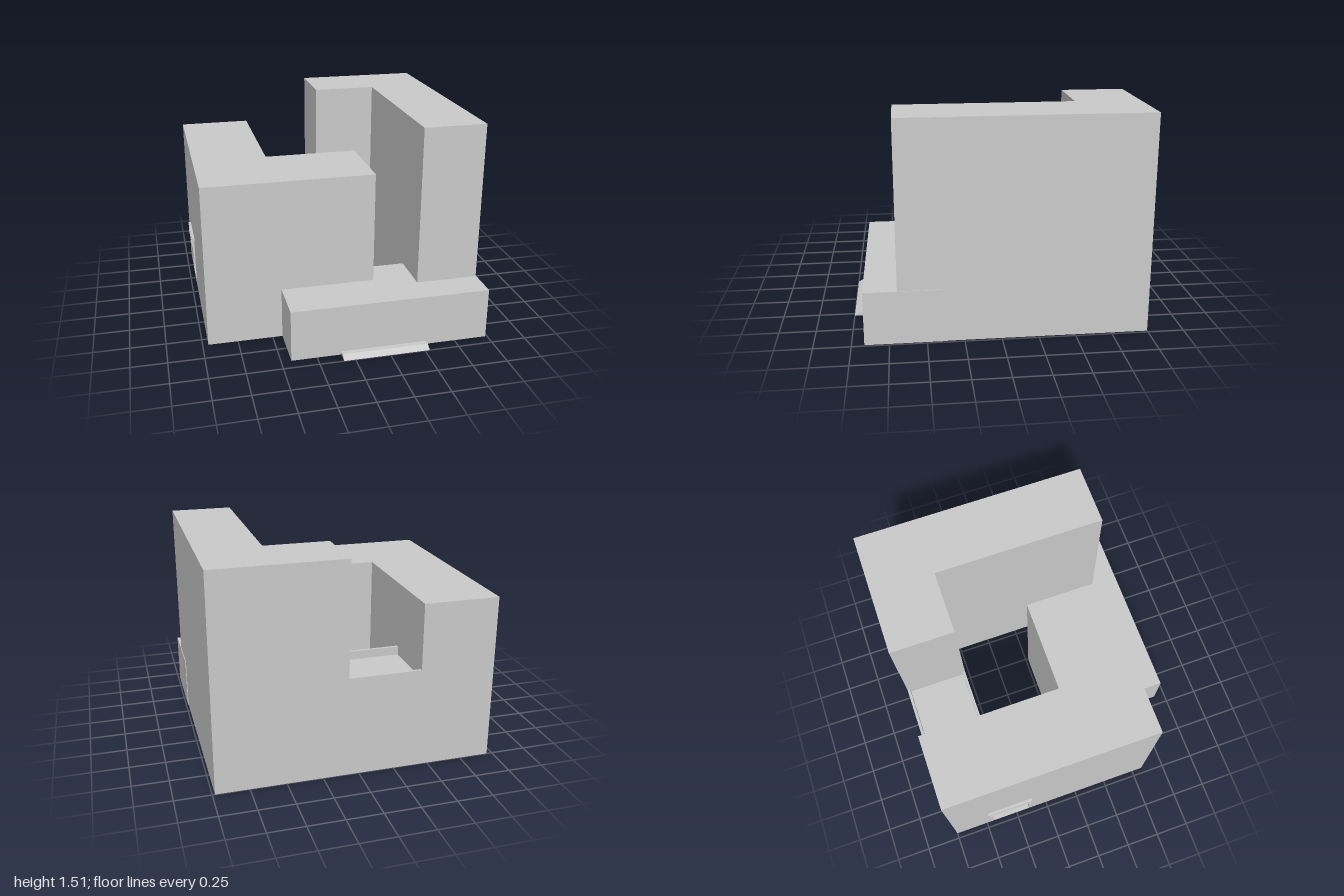
import * as THREE from 'three';

const material = new THREE.MeshStandardMaterial({ color: 0xcccccc, flatShading: true });

function makeShape(points) {
  return new THREE.Shape(points.map(([a, b]) => new THREE.Vector2(a, b)));
}

function extrude(shape, depth) {
  return new THREE.ExtrudeGeometry(shape, { depth, bevelEnabled: false });
}

function addMesh(parent, name, geometry) {
  const mesh = new THREE.Mesh(geometry, material);
  mesh.name = name;
  parent.add(mesh);
  return mesh;
}

// Footprint of [x, z] corners raised from y0 to y1
function prism(footprint, y0, y1) {
  const geometry = extrude(makeShape(footprint.map(([x, z]) => [x, -z])), y1 - y0);
  return geometry.rotateX(-Math.PI / 2).translate(0, y0, 0);
}

// Section of [z, y] corners swept from x0 to x1
function sweepX(section, x0, x1) {
  return extrude(makeShape(section), x1 - x0).rotateY(-Math.PI / 2).translate(x1, 0, 0);
}

// Box given by its lowest and highest corners
function box([x0, y0, z0], [x1, y1, z1]) {
  return new THREE.BoxGeometry(x1 - x0, y1 - y0, z1 - z0)
    .translate((x0 + x1) / 2, (y0 + y1) / 2, (z0 + z1) / 2);
}

export function createModel() {
  const model = new THREE.Group();
  model.name = 'courtyardBuilding';

  // Lower L-shaped wing, with a doorway cut into its outer side
  const wing = new THREE.Group();
  wing.name = 'lowWing';
  model.add(wing);
  const outline = [[-0.96, 0.58], [0.24, 0.58], [0.24, 0.02], [-0.43, 0.02], [-0.43, -1], [-0.96, -1]];
  const doorway = [[-0.96, -0.69], [-0.89, -0.69], [-0.89, -0.395], [-0.96, -0.395]];
  addMesh(wing, 'lowWingGroundFloor', prism([...outline, ...doorway], 0, 0.33));
  addMesh(wing, 'lowWingUpperFloors', prism(outline, 0.33, 1.175));
  addMesh(wing, 'doorwayFloor', box([-0.96, 0, -0.69], [-0.89, 0.006, -0.395]));

  // Sign board above the doorway: raised rim round a blank panel
  const sign = new THREE.Group();
  sign.name = 'doorSignBoard';
  model.add(sign);
  const rim = makeShape([[-0.72, 0.33], [-0.37, 0.33], [-0.37, 0.41], [-0.72, 0.41]]);
  rim.holes.push(makeShape([[-0.712, 0.338], [-0.712, 0.402], [-0.378, 0.402], [-0.378, 0.338]]));
  addMesh(sign, 'signRim', extrude(rim, 0.022).rotateY(-Math.PI / 2).translate(-0.958, 0, 0));
  addMesh(sign, 'signPanel', box([-0.974, 0.338, -0.712], [-0.958, 0.402, -0.378]));

  // Taller L-shaped wing
  addMesh(model, 'tallWing', prism(
    [[0.535, 0.69], [0.982, 0.69], [0.982, -1], [0.075, -1], [0.075, -0.545], [0.535, -0.545]], 0, 1.515));

  // Low link between the wings, its roof terrace edged by two parapets
  addMesh(model, 'terraceLink', sweepX(
    [[-1, 0], [-0.545, 0], [-0.545, 0.71], [-0.565, 0.71], [-0.565, 0.65],
      [-0.98, 0.65], [-0.98, 0.71], [-1, 0.71]], -0.43, 0.075));

  // Entrance hall across the front
  addMesh(model, 'entranceHall', box([-0.43, 0, 0.365], [0.987, 0.372, 0.915]));

  // Entrance step with a sloping front
  addMesh(model, 'entranceRamp', sweepX(
    [[0.915, 0], [1, 0], [0.955, 0.025], [0.915, 0.025]], -0.08, 0.535));

  return model;
}
